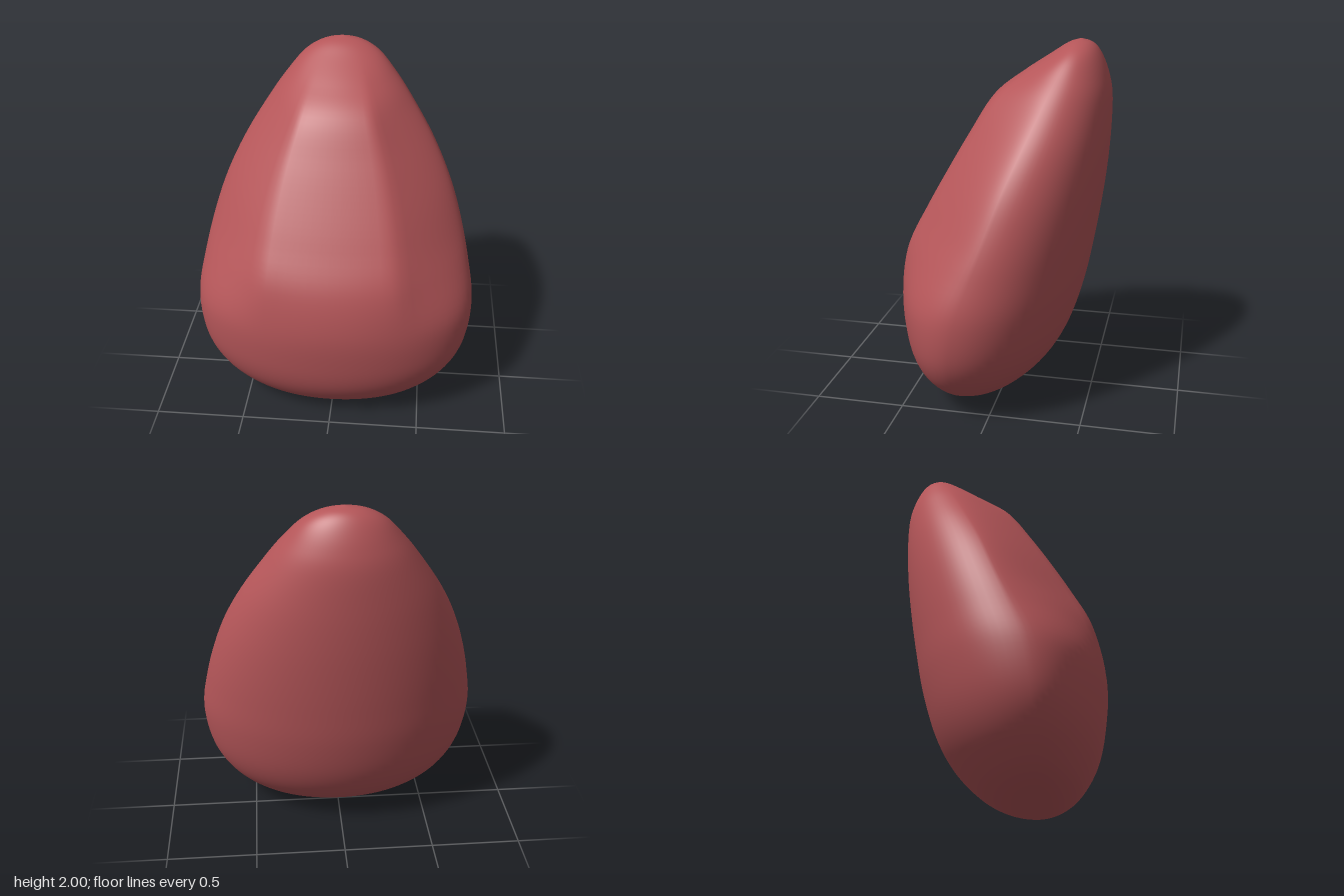
import * as THREE from 'three';

// Level: [height, half width, z of widest line, front z, back z]
const LEVELS = [
  [0, 0, 0.17, 0.17, 0.17],
  [0.012, 0.19, 0.17, 0.26, 0.07],
  [0.05, 0.385, 0.17, 0.35, -0.05],
  [0.12, 0.53, 0.17, 0.43, -0.16],
  [0.25, 0.665, 0.17, 0.505, -0.28],
  [0.42, 0.75, 0.16, 0.547, -0.37],
  [0.65, 0.78, 0.12, 0.567, -0.44],
  [0.88, 0.745, 0.04, 0.525, -0.485],
  [1.1, 0.69, -0.04, 0.415, -0.52],
  [1.3, 0.62, -0.11, 0.305, -0.545],
  [1.5, 0.52, -0.19, 0.19, -0.56],
  [1.7, 0.39, -0.27, 0.065, -0.562],
  [1.82, 0.30, -0.32, -0.085, -0.54],
  [1.92, 0.21, -0.36, -0.235, -0.5],
  [1.975, 0.115, -0.38, -0.32, -0.455],
  [2, 0, -0.39, -0.39, -0.39],
];

function createBodyGeometry() {
  const spline = (f) => new THREE.CatmullRomCurve3(LEVELS.map(f), false, 'catmullrom', 0.5);
  const outline = spline(([y, w, m]) => new THREE.Vector3(w, y, m));
  const depth = spline(([y, , , f, b]) => new THREE.Vector3(f, y, b));
  const rows = 90, cols = 80;
  const positions = [], index = [];

  for (let i = 0; i <= rows; i++) {
    const o = outline.getPoint(i / rows), d = depth.getPoint(i / rows);
    // The upper front is pressed into a flat panel with two sloping sides
    const press = 0.5 * THREE.MathUtils.smoothstep(o.y, 0.6, 1.05)
      * (1 - THREE.MathUtils.smoothstep(o.y, 1.65, 1.95));
    for (let j = 0; j < cols; j++) {
      const a = (j / cols) * Math.PI * 2;
      const c = Math.cos(a), s = Math.sin(a);
      const panel = Math.min(1, (1 - Math.abs(c)) / 0.5);
      const z = s > 0
        ? o.z + (d.x - o.z) * THREE.MathUtils.lerp(s, panel, press)
        : o.z + (o.z - d.z) * s;
      positions.push(o.x * c, Math.max(0, o.y), z);
    }
  }
  for (let i = 0; i < rows; i++) {
    for (let j = 0; j < cols; j++) {
      const k = (j + 1) % cols;
      const p = i * cols + j, q = i * cols + k;
      const r = p + cols, t = q + cols;
      if (i < rows - 1) index.push(p, r, t);
      else index.push(p, r, q);
      if (i > 0 && i < rows - 1) index.push(p, t, q);
    }
  }
  const geometry = new THREE.BufferGeometry();
  geometry.setAttribute('position', new THREE.Float32BufferAttribute(positions, 3));
  geometry.setIndex(index);
  geometry.computeVertexNormals();
  return geometry;
}

export function createModel() {
  const group = new THREE.Group();
  group.name = 'pebble';
  const body = new THREE.Mesh(
    createBodyGeometry(),
    new THREE.MeshStandardMaterial({ color: 0xb55659 }),
  );
  body.name = 'body';
  group.add(body);
  return group;
}
